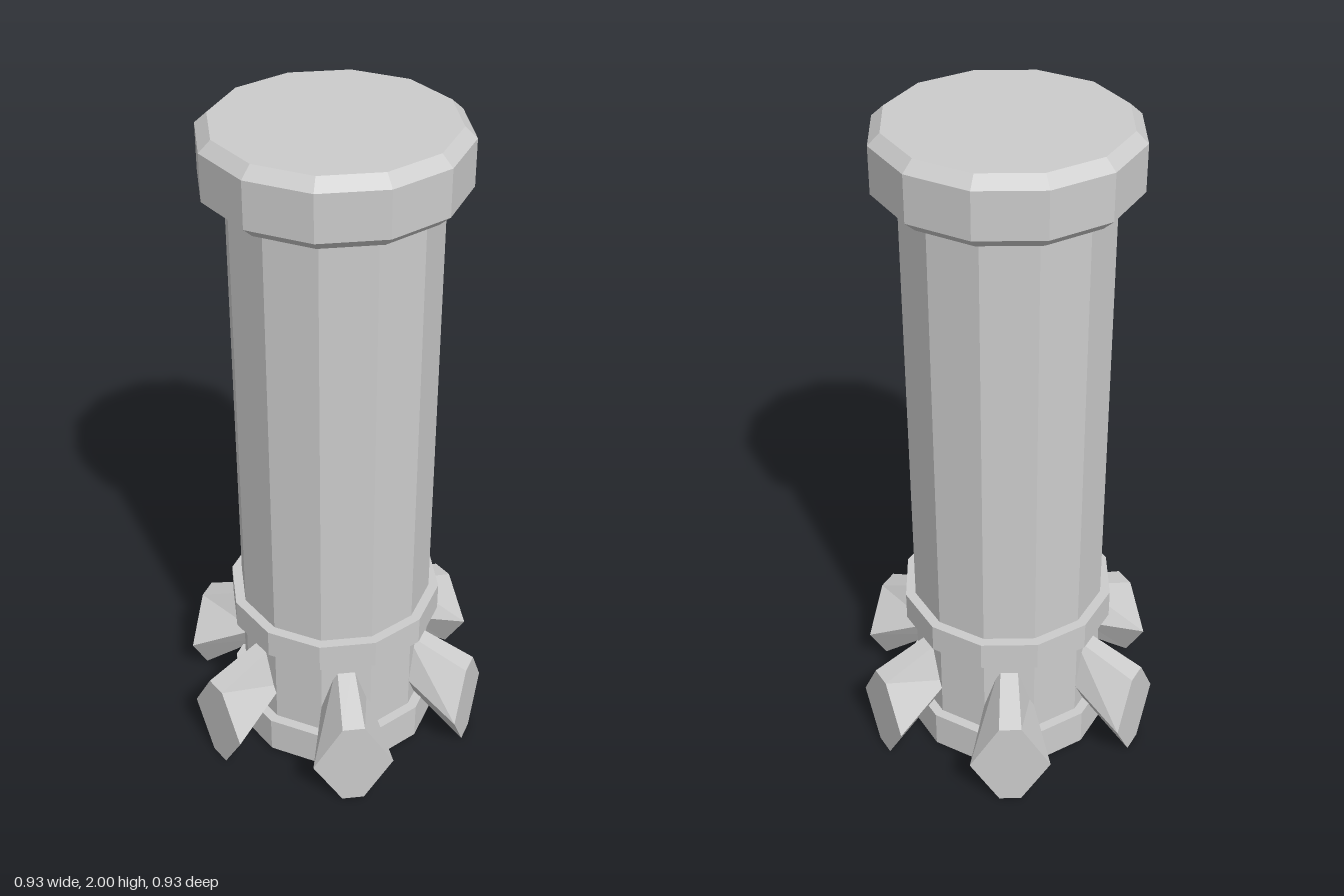
import * as THREE from 'three';

const SIDES = 12;
const CLAWS = 6;

export function createModel() {
  const group = new THREE.Group();
  const material = new THREE.MeshStandardMaterial({ color: 0xcccccc, flatShading: true });

  const add = (name, geometry) => {
    const mesh = new THREE.Mesh(geometry, material);
    mesh.name = name;
    group.add(mesh);
    return mesh;
  };

  // Solid twelve-sided part from a profile of [radius, y], bottom to top
  const turned = (name, profile) => {
    const points = profile.map(([r, y]) => new THREE.Vector2(r, y));
    points.unshift(new THREE.Vector2(0, profile[0][1]));
    points.push(new THREE.Vector2(0, profile[profile.length - 1][1]));
    return add(name, new THREE.LatheGeometry(points, SIDES).toNonIndexed());
  };

  turned('shaft', [[0.29, 0.05], [0.29, 1.85]]);
  turned('baseRing', [[0.32, 0.01], [0.32, 0.13]]);
  turned('collar', [[0.32, 0.41], [0.32, 0.5]]);
  turned('cap', [[0.325, 1.81], [0.358, 1.84], [0.358, 1.97], [0.325, 2]]);

  // Upright hexagon facing outward (+z) at distance r from the axis
  const hexagon = (r, flat, bottom, middle, top) => {
    const wide = r * Math.tan(Math.PI / SIDES);
    return [
      [flat, bottom, r], [wide, middle, r], [flat, top, r],
      [-flat, top, r], [-wide, middle, r], [-flat, bottom, r],
    ];
  };

  // Claw: tapered hexagonal prism sloping down and outward from the shaft
  const clawGeometry = () => {
    const inner = hexagon(0.25, 0.025, 0.165, 0.24, 0.371);
    const outer = hexagon(0.449, 0.033, 0, 0.147, 0.295);
    const index = [];
    for (let i = 0; i < 6; i++) {
      const j = (i + 1) % 6;
      index.push(i, j, 6 + j, i, 6 + j, 6 + i);
    }
    for (let i = 1; i < 5; i++) {
      index.push(6, 6 + i, 7 + i); // outer face
      index.push(0, i + 1, i); // inner face
    }
    const geometry = new THREE.BufferGeometry();
    geometry.setAttribute('position', new THREE.Float32BufferAttribute([...inner, ...outer].flat(), 3));
    geometry.setIndex(index);
    const faceted = geometry.toNonIndexed();
    faceted.computeVertexNormals();
    return faceted;
  };

  // Claws sit on every second face of the shaft
  const claw = clawGeometry();
  for (let i = 0; i < CLAWS; i++) {
    add('claw' + (i + 1), claw).rotation.y = Math.PI / SIDES + (i * 2 * Math.PI) / CLAWS;
  }

  return group;
}
